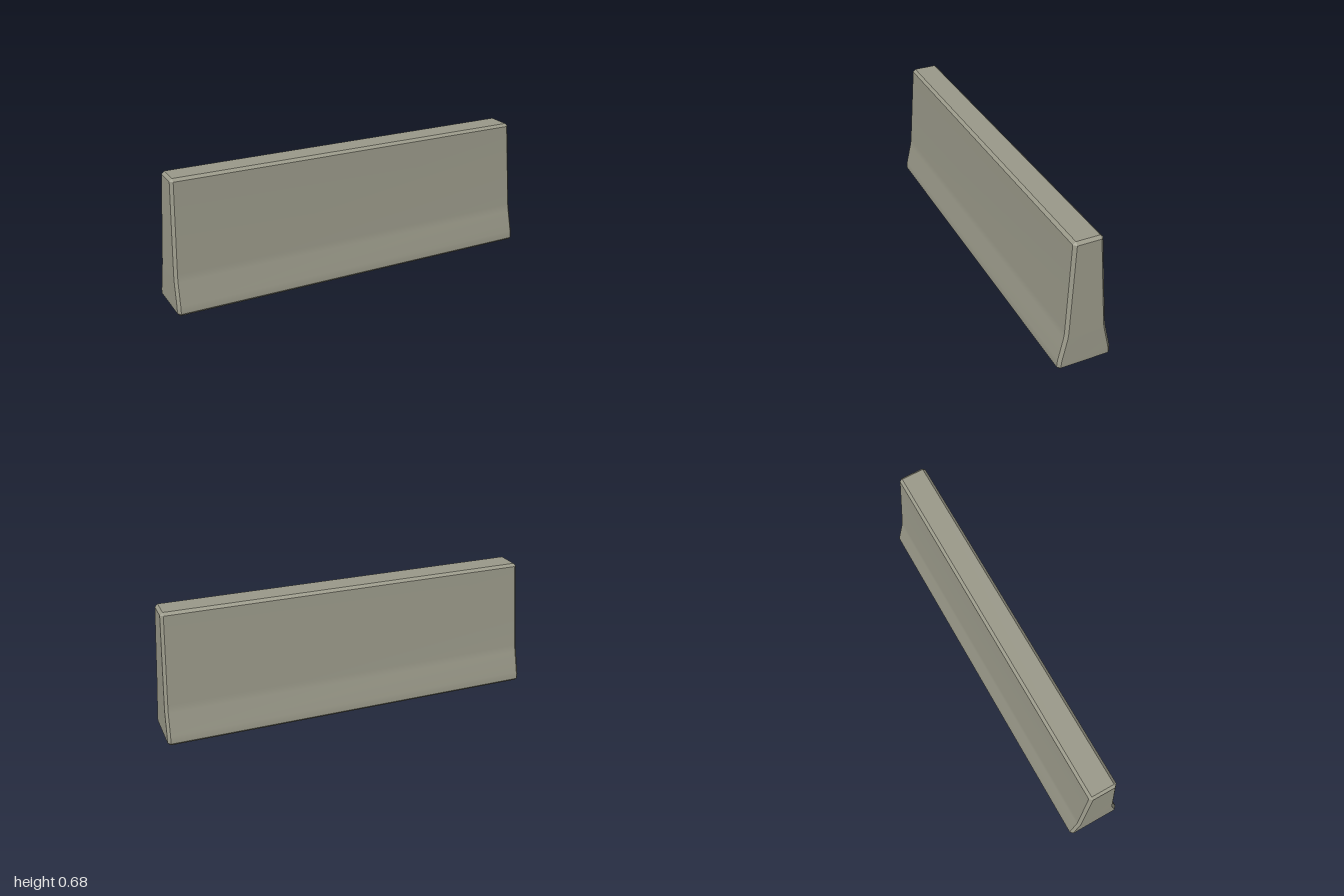
import * as THREE from 'three';
import { toCreasedNormals } from 'three/addons/utils/BufferGeometryUtils.js';

const BEVEL = 0.0145;

// Levels of the wall: [height, half length, half thickness, corner bevel]
const LEVELS = [
  [0, 1 - BEVEL, 0.14 - BEVEL, 0],
  [0.0145, 1, 0.14, BEVEL],
  [0.035, 1, 0.139, BEVEL],
  [0.055, 0.999, 0.136, BEVEL],
  [0.17, 0.996, 0.11, BEVEL],
  [0.19, 0.995, 0.1065, BEVEL],
  [0.21, 0.994, 0.1045, BEVEL],
  [0.667, 0.972, 0.075, BEVEL],
  [0.681, 0.972 - BEVEL, 0.075 - BEVEL, 0],
];

// Eight points around a rectangle with cut corners, counterclockwise from above
function ring([y, x, z, c]) {
  return [
    [x, z - c], [x, c - z], [x - c, -z], [c - x, -z],
    [-x, c - z], [-x, z - c], [c - x, z], [x - c, z],
  ].map(([px, pz]) => [px, y, pz]);
}

function wallGeometry() {
  const rings = LEVELS.map(ring);
  const positions = [];
  const same = (p, q) => p.every((v, k) => Math.abs(v - q[k]) < 1e-6);
  const tri = (a, b, c) => {
    if (!same(a, b) && !same(b, c) && !same(c, a)) positions.push(...a, ...b, ...c);
  };
  // Sides and bevels
  for (let i = 0; i < rings.length - 1; i++) {
    for (let j = 0; j < 8; j++) {
      const k = (j + 1) % 8;
      const [a, b, c, d] = [rings[i][j], rings[i][k], rings[i + 1][k], rings[i + 1][j]];
      tri(a, b, c);
      tri(a, c, d);
    }
  }
  // Underside and top
  const bottom = rings[0];
  const top = rings[rings.length - 1];
  for (let j = 1; j < 7; j++) {
    tri(bottom[0], bottom[j + 1], bottom[j]);
    tri(top[0], top[j], top[j + 1]);
  }
  const geometry = new THREE.BufferGeometry();
  geometry.setAttribute('position', new THREE.Float32BufferAttribute(positions, 3));
  return toCreasedNormals(geometry, THREE.MathUtils.degToRad(25));
}

export function createModel() {
  const concrete = new THREE.MeshStandardMaterial({ color: 0x9b9a8a });
  concrete.name = 'concrete';
  const wall = new THREE.Mesh(wallGeometry(), concrete);
  wall.name = 'barrierWall';
  const group = new THREE.Group();
  group.name = 'concreteBarrier';
  group.add(wall);
  return group;
}
